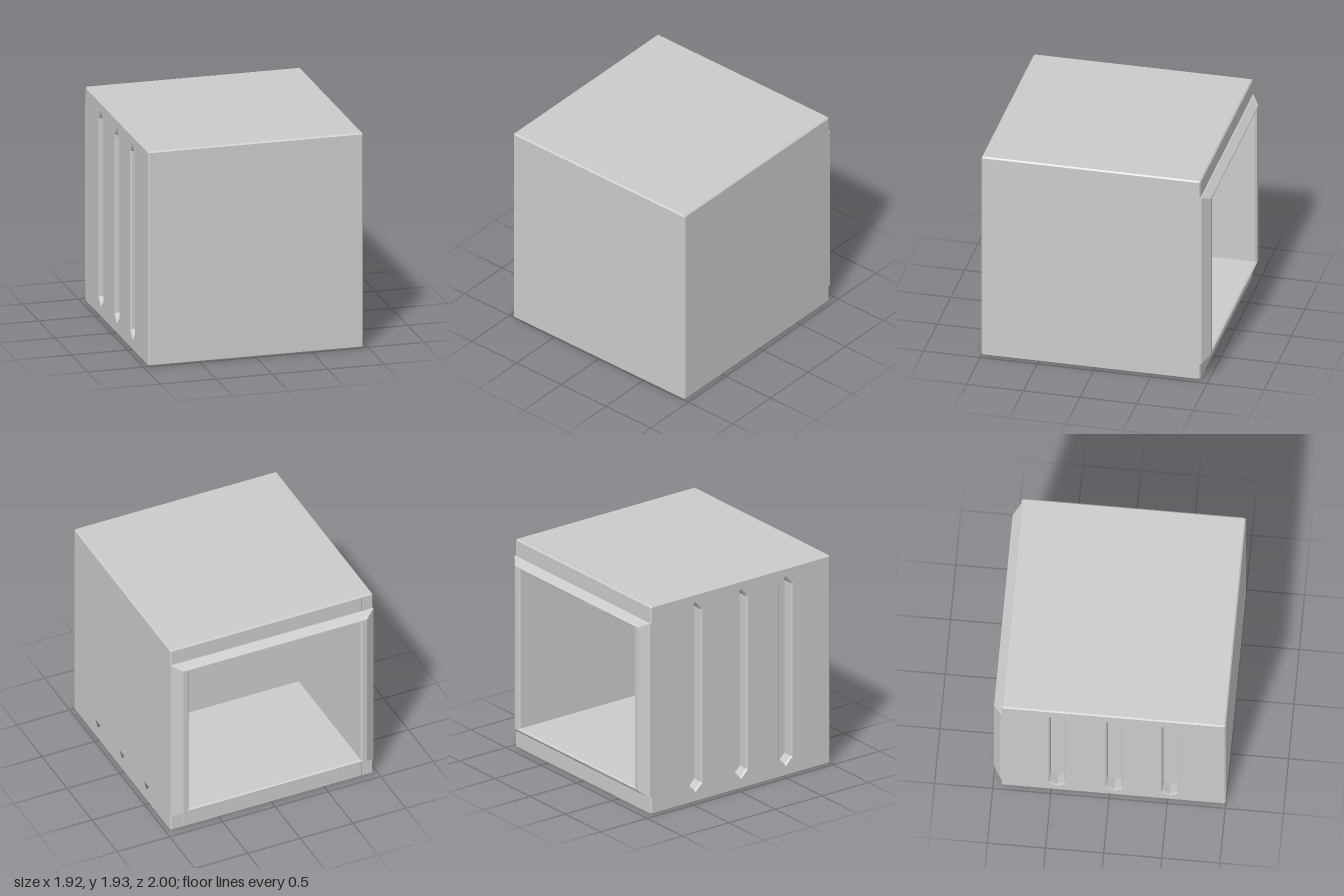
import * as THREE from 'three';

const BEVEL = 0.012;
const HEIGHT = 1.93;
const BACK = -0.93, FRONT = 1, CAVITY_END = 0.25;

const material = new THREE.MeshStandardMaterial({ color: 0xcccccc, flatShading: true });

const polygon = (points, Type = THREE.Shape) => new Type(points.map(([x, y]) => new THREE.Vector2(x, y)));

const rectangle = (x0, x1, y0, y1) => [[x0, y0], [x1, y0], [x1, y1], [x0, y1]];

// Extrudes a shape from z0 to z1 with chamfered rims that stay inside the outline
function bevelled(shape, z0, z1) {
  const geometry = new THREE.ExtrudeGeometry(shape, {
    depth: z1 - z0 - 2 * BEVEL,
    bevelThickness: BEVEL, bevelSize: BEVEL, bevelOffset: -BEVEL, bevelSegments: 1,
  });
  return geometry.translate(0, 0, z0 + BEVEL);
}

// Skin through rectangular rings given as [halfWidth, bottom, top, z]
function ringLoft(rings) {
  const corners = rings.map(([w, y0, y1, z]) =>
    rectangle(-w, w, y0, y1).map(([x, y]) => [x, y, z]));
  const positions = [];
  for (let i = 0; i < corners.length - 1; i++) {
    const a = corners[i], b = corners[i + 1];
    for (let j = 0; j < 4; j++) {
      const k = (j + 1) % 4;
      positions.push(...a[j], ...b[j], ...a[k], ...a[k], ...b[j], ...b[k]);
    }
  }
  const geometry = new THREE.BufferGeometry();
  geometry.setAttribute('position', new THREE.Float32BufferAttribute(positions, 3));
  geometry.computeVertexNormals();
  return geometry;
}

// Side panel with three pointed slots; side is +1 for left, -1 for right
function sidePanel(side) {
  const c = BEVEL;
  const place = (points) => points.map(([z, y]) => [-side * z, y]);
  const shape = polygon(place([
    [BACK + c, 0], [FRONT - c, 0], [FRONT, c], [FRONT, HEIGHT - c],
    [FRONT - c, HEIGHT], [BACK + c, HEIGHT], [BACK, HEIGHT - c], [BACK, c],
  ]));
  const half = 0.063, tip = 0.107, shoulder = 0.17;
  for (const z of [0.52, 0.04, -0.45]) {
    shape.holes.push(polygon(place([
      [z, tip], [z + half, shoulder], [z + half, HEIGHT - shoulder + 0.01],
      [z, HEIGHT - tip + 0.02], [z - half, HEIGHT - shoulder + 0.01], [z - half, shoulder],
    ]), THREE.Path));
  }
  return bevelled(shape, 0.84, 0.96).rotateY(side * Math.PI / 2);
}

export function createModel() {
  const group = new THREE.Group();
  group.name = 'hollowCubeHousing';
  const add = (name, geometry) => {
    const mesh = new THREE.Mesh(geometry, material);
    mesh.name = name;
    group.add(mesh);
  };

  // Core: solid front block and a tunnel behind it, which also close the slots
  const coreOutline = rectangle(-0.86, 0.86, 0, HEIGHT);
  add('frontBlock', bevelled(polygon(coreOutline), CAVITY_END, FRONT));
  const tunnel = polygon(coreOutline);
  tunnel.holes.push(polygon(rectangle(-0.83, 0.83, 0.215, 1.72), THREE.Path));
  add('tunnelBody', bevelled(tunnel, BACK, CAVITY_END + 0.03));

  // Slotted sides
  add('leftPanel', sidePanel(1));
  add('rightPanel', sidePanel(-1));

  // Tapered rear frame running on into the cavity walls
  add('rearFrameAndCavity', ringLoft([
    [0.96, 0.16, 1.775, BACK + 0.015],
    [0.96, 0.16, 1.775, BACK - 0.008],
    [0.87, 0.212, 1.725, -1],
    [0.828, 0.222, 1.715, -1],
    [0.815, 0.232, 1.703, -0.985],
    [0.815, 0.232, 1.703, CAVITY_END + 0.01],
  ]));

  return group;
}
